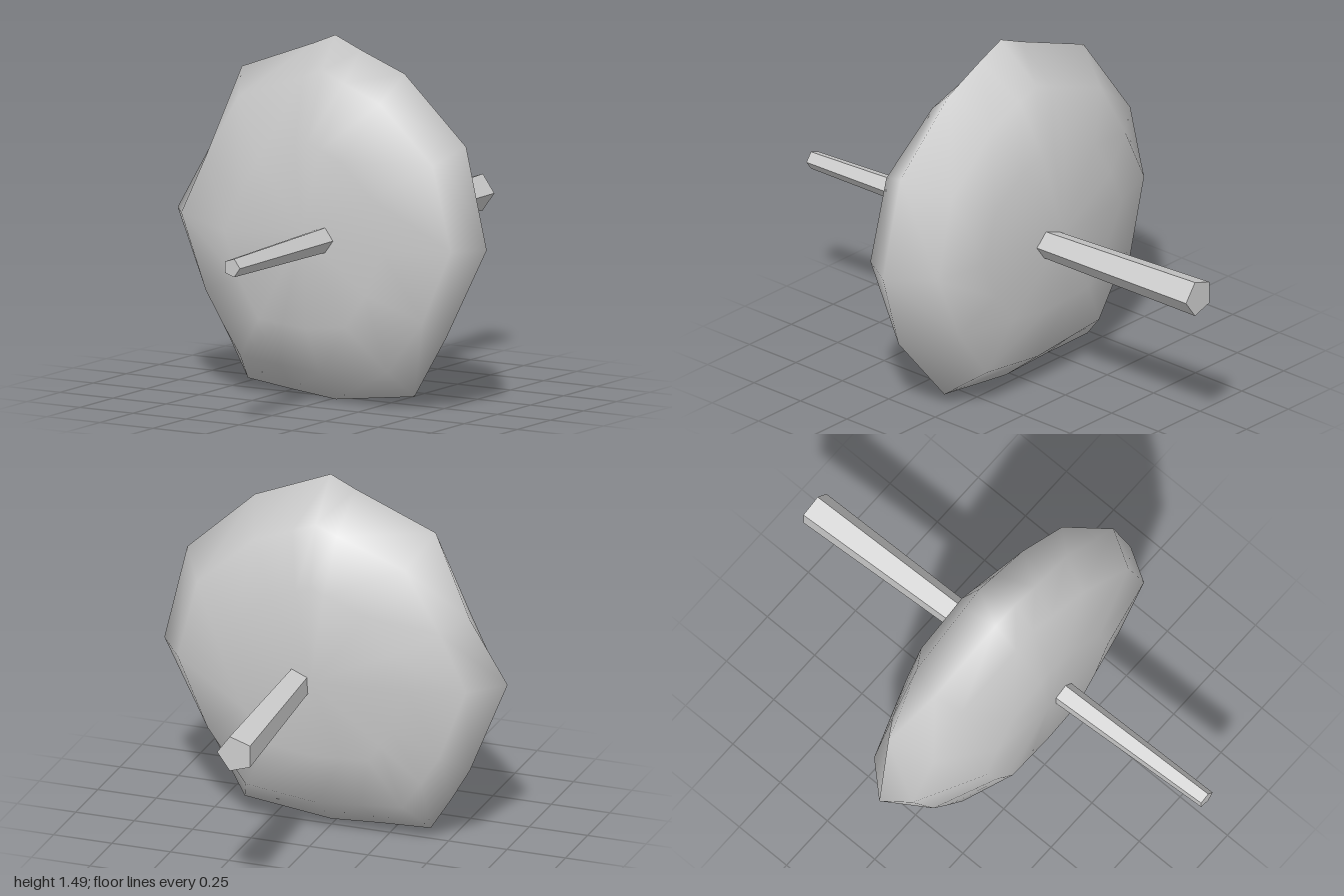
import * as THREE from 'three';
import { mergeVertices } from 'three/addons/utils/BufferGeometryUtils.js';

const CY = 0.715;

// Rim corners clockwise from the front: x, y, z
const RIM = [
  [-0.43, 1.315, 0.04], [-0.08, 1.445, 0.06], [0.03, 1.49, 0.07], [0.15, 1.44, 0.07], [0.35, 1.36, 0.06],
  [0.64, 1.09, 0.06], [0.74, 0.68, 0.065], [0.585, 0.32, 0.12], [0.39, 0.05, 0.05],
  [0.02, 0.005, 0.05], [-0.2, 0.025, 0.035], [-0.42, 0.045, 0.01], [-0.515, 0.19, -0.01],
  [-0.61, 0.345, -0.05], [-0.745, 0.71, 0.02], [-0.61, 1.0, -0.05],
];

// Rim scaled in x and y, lifted to z and tilted across x and y
function ring(sx, sy, z, tiltX = 0, tiltY = 0, dy = 0) {
  return RIM.map(([x, y]) => {
    const h = (y - CY) * sy;
    return [x * sx, CY + h + dy, z + tiltX * x + tiltY * h];
  });
}

// Lumpy lens-shaped stone: rings running from front centre to back centre
function stoneGeometry() {
  const rings = [
    ring(0, 0, 0.272),
    ring(0.5, 0.51, 0.264, 0, 0, -0.03),
    ring(0.89, 0.83, 0.165, 0.055),
    RIM,
    ring(0.83, 0.81, -0.117),
    ring(0.53, 0.5, -0.183, 0.02, -0.05),
    ring(0, 0, -0.24),
  ];
  const n = RIM.length;
  const last = rings.length - 2;
  const index = [];
  for (let r = 0; r <= last; r++) {
    for (let j = 0; j < n; j++) {
      const k = (j + 1) % n;
      const a = r * n, b = a + n;
      if (r > 0) index.push(a + j, a + k, b + k);
      if (r < last) index.push(a + j, b + k, b + j);
    }
  }
  let geo = new THREE.BufferGeometry();
  geo.setAttribute('position', new THREE.Float32BufferAttribute(rings.flat(2), 3));
  geo.setIndex(index);
  geo = mergeVertices(geo, 1e-4);
  geo.computeVertexNormals();
  return geo;
}

// Five-sided tapering shaft that leans slightly sideways
function shaftGeometry() {
  let geo = new THREE.CylinderGeometry(0.039, 0.078, 2, 5, 1, false, Math.PI / 2);
  geo.rotateX(Math.PI / 2);
  const p = geo.attributes.position;
  for (let i = 0; i < p.count; i++) {
    p.setX(i, p.getX(i) + 0.077 + 0.044 * p.getZ(i));
    p.setY(i, p.getY(i) + 0.692);
  }
  geo = geo.toNonIndexed();
  geo.computeVertexNormals();
  return geo;
}

export function createModel() {
  const group = new THREE.Group();
  const grey = new THREE.MeshStandardMaterial({ color: 0xcccccc });
  grey.name = 'plainGrey';

  const stone = new THREE.Mesh(stoneGeometry(), grey);
  stone.name = 'stoneDisc';
  const shaft = new THREE.Mesh(shaftGeometry(), grey);
  shaft.name = 'shaft';
  group.add(stone, shaft);
  return group;
}
